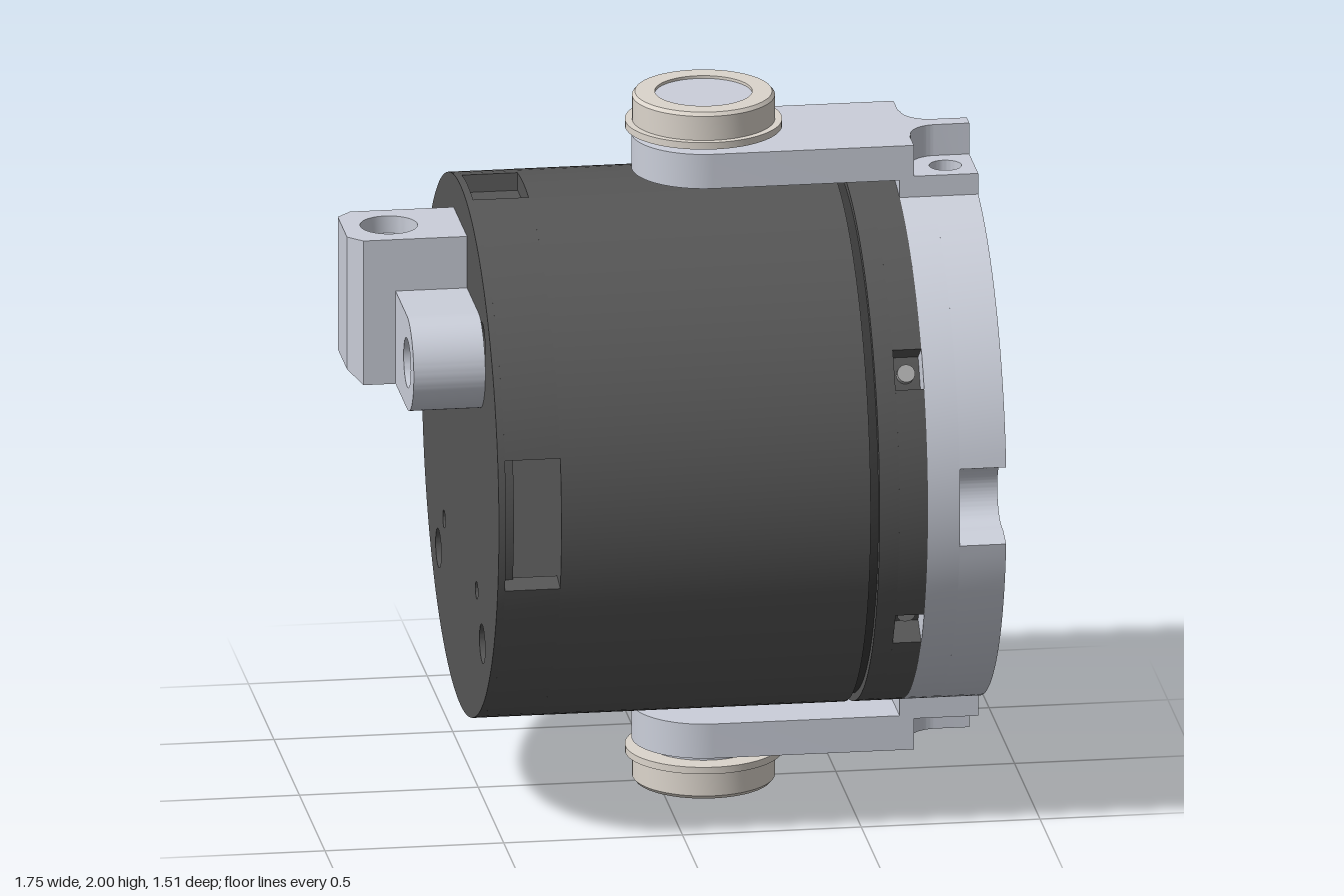
import * as THREE from 'three';
import { toCreasedNormals } from 'three/addons/utils/BufferGeometryUtils.js';

const mat = (color) => new THREE.MeshStandardMaterial({ color });
const DARK = mat(0x565656), LIGHT = mat(0xcbcfda), GREY = mat(0xa9a9a9), CREAM = mat(0xdcd5cc), BLACK = mat(0x3a3a3a);
const R = 0.757, RAD = Math.PI / 180;

const V = (x, y) => new THREE.Vector2(x, y);
const polar = (r, deg) => V(r * Math.cos(deg * RAD), r * Math.sin(deg * RAD));

// Points along an arc, in degrees
function arc(r, a0, a1, cx = 0, cy = 0) {
  const n = Math.max(2, Math.ceil(Math.abs(a1 - a0) / 3));
  return Array.from({ length: n + 1 }, (_, i) => polar(r, a0 + (a1 - a0) * i / n).add(V(cx, cy)));
}

// Shape from points, with round holes [x, y, radius]
function shapeOf(points, holes = []) {
  const s = new THREE.Shape(points);
  for (const [x, y, r] of holes) {
    const h = new THREE.Path();
    h.absarc(x, y, r, 0, Math.PI * 2, true);
    s.holes.push(h);
  }
  return s;
}
const disc = (r, holes) => shapeOf(arc(r, 0, 360).slice(0, -1), holes);
const sector = (r0, r1, a0, a1) => shapeOf([...arc(r1, a0, a1), ...arc(r0, a1, a0)]);

function extrude(shape, depth) {
  return new THREE.ExtrudeGeometry(shape, { depth, bevelEnabled: false, curveSegments: 24 });
}
function addMesh(parent, name, geo, material) {
  const m = new THREE.Mesh(toCreasedNormals(geo, 0.5), material);
  m.name = name;
  parent.add(m);
  return m;
}
// Extrusion along the drum axis (x); shape is (-z, y) about the axis
function alongX(parent, name, shape, x0, x1, material) {
  return addMesh(parent, name, extrude(shape, x1 - x0).rotateY(Math.PI / 2).translate(x0, 1, 0), material);
}
// Extrusion upward; shape is (x, -z)
const upGeo = (shape, y0, y1) => extrude(shape, y1 - y0).rotateX(-Math.PI / 2).translate(0, y0, 0);

// Outer arc with a U-shaped screw notch cut in at each given angle
function notchedArc(a0, a1, notches) {
  const pts = [];
  let a = a0;
  for (const t of notches) {
    const u = [V(0.69, -0.092), ...arc(0.09, 270, 90, 0.665, 0), V(0.69, 0.092)];
    pts.push(...arc(R, a, t - 8.5), ...u.map((p) => p.rotateAround(V(0, 0), t * RAD)));
    a = t + 8.5;
  }
  return [...pts, ...arc(R, a, a1)];
}

function buildDrum(g) {
  // Rear cover with four screw holes and two pin holes
  const holes = [];
  for (const s of [-1, 1]) {
    for (const t of [-1, 1]) holes.push([s * 0.43, t * 0.44, 0.055]);
    holes.push([s * 0.32, -0.32, 0.025]);
  }
  alongX(g, 'rearCover', disc(R, holes), -0.55, -0.53, DARK);
  alongX(g, 'rearCoverPlug', disc(0.7, holes), -0.53, -0.5, DARK);
  // Shell wall between the windows
  for (const [a0, a1] of [[14.5, 81.6], [98.4, 165.5], [194.5, 345.5]])
    alongX(g, 'windowWall', sector(0.69, R, a0, a1), -0.53, -0.375, DARK);
  addMesh(g, 'topWindowFloor', new THREE.BoxGeometry(0.155, 0.03, 0.26).translate(-0.4525, 1.685, 0), DARK);
  // Main shell, groove and front collar
  alongX(g, 'shell', disc(R), -0.375, 0.49, DARK);
  alongX(g, 'groove', disc(0.735), 0.49, 0.515, BLACK);
  alongX(g, 'collar', disc(R), 0.515, 0.57, DARK);
  alongX(g, 'collarCore', disc(0.68, [[0, 0, 0.495]]), 0.57, 0.65, DARK);
  // Collar wall, open at four pockets, each with a screw
  const pockets = [30, 150, 210, 330];
  pockets.forEach((p, i) => {
    const next = pockets[(i + 1) % 4] + (i === 3 ? 360 : 0);
    alongX(g, 'collarWall', sector(0.68, R, p + 4.3, next - 4.3), 0.57, 0.65, DARK);
    const c = polar(0.69, p);
    const screw = addMesh(g, 'pocketScrew', new THREE.CylinderGeometry(0.025, 0.025, 0.03, 20), GREY);
    screw.position.set(0.61, 1 + c.y, -c.x);
    screw.rotation.x = -(90 - p) * RAD;
  });
}

function buildOutput(g) {
  // Output disc with bolt circle and three larger pin holes
  const holes = [];
  for (let i = 0; i < 6; i++) {
    const p = polar(0.36, 30 + 60 * i);
    holes.push([p.x, p.y, 0.034]);
  }
  for (const a of [60, 180, 300]) {
    const p = polar(0.325, a);
    holes.push([p.x, p.y, 0.054]);
  }
  alongX(g, 'outputDisc', disc(0.475, holes), 0.59, 0.67, GREY);
  alongX(g, 'outputBacking', disc(0.475), 0.571, 0.59, GREY);
}

function buildFrontRing(g) {
  // Two ring halves; the front layer carries the screw notches
  const halves = [
    { outer: [105.4, 254.6], inner: [245.9, 114.1], r: 0.49, notches: [180] },
    { outer: [-74.6, 74.6], inner: [68.3, -68.3], r: 0.54, notches: [-60, 60] },
  ];
  for (const h of halves) {
    const inside = arc(h.r, ...h.inner);
    const screws = h.notches.map((t) => [...polar(0.665, t).toArray(), 0.045]);
    alongX(g, 'frontRingBase', shapeOf([...arc(R, ...h.outer), ...inside], screws), 0.65, 0.74, LIGHT);
    alongX(g, 'frontRingFace', shapeOf([...notchedArc(...h.outer, h.notches), ...inside]), 0.74, 0.87, LIGHT);
  }
}

function buildBracket() {
  const b = new THREE.Group();
  b.name = 'pivotBracket';
  // Foot joining the ring, drilled for two screws
  const foot = shapeOf([V(0.65, -0.2), V(0.87, -0.2), V(0.87, 0.2), V(0.65, 0.2)],
    [[0.79, 0.115, 0.045], [0.79, -0.115, 0.045]]);
  addMesh(b, 'bracketFoot', upGeo(foot, 1.54, 1.79), LIGHT);
  // Arm with rounded end and narrow tongue between the screws
  const edge = [V(0.69, -0.2), V(0.69, -0.12), ...arc(0.08, 180, 90, 0.775, -0.105), V(0.87, -0.025)];
  const arm = [...edge, ...edge.map((p) => V(p.x, -p.y)).reverse(), ...arc(0.2, 90, 270, 0.13, 0)];
  addMesh(b, 'bracketArm', upGeo(shapeOf(arm), 1.78, 1.88), LIGHT);
  // Flanged bearing on its pin
  const profile = [[0.135, 1.9], [0.218, 1.9], [0.218, 1.92], [0.198, 1.92], [0.198, 1.99],
    [0.19, 2], [0.135, 2], [0.135, 1.9]].map((p) => V(...p));
  addMesh(b, 'bearing', new THREE.LatheGeometry(profile, 64).translate(0.13, 0, 0), CREAM);
  addMesh(b, 'bearingSpacer', new THREE.CylinderGeometry(0.155, 0.155, 0.03, 48).translate(0.13, 1.89, 0), LIGHT);
  addMesh(b, 'bearingPin', new THREE.CylinderGeometry(0.135, 0.135, 0.11, 48).translate(0.13, 1.937, 0), LIGHT);
  return b;
}

function buildRearMount(g) {
  const m = new THREE.Group();
  m.name = 'rearMount';
  g.add(m);
  // Rounded wing bar with a bolt hole at each end
  const wing = shapeOf([...arc(0.135, -90, 90, 0.355, 0.365), ...arc(0.135, 90, 270, -0.355, 0.365)],
    [[0.36, 0.365, 0.07], [-0.36, 0.365, 0.07]]);
  alongX(m, 'mountWing', wing, -0.75, -0.55, LIGHT);
  // Upright block with counterbored hole and chamfered lower edge
  const outline = [V(-0.55, -0.132), V(-0.55, 0.132), V(-0.84, 0.132), V(-0.88, 0.09), V(-0.88, -0.09), V(-0.84, -0.132)];
  addMesh(m, 'mountBlockTop', upGeo(shapeOf(outline, [[-0.75, 0, 0.08]]), 1.6, 1.65), LIGHT);
  addMesh(m, 'mountBlock', upGeo(shapeOf(outline, [[-0.75, 0, 0.045]]), 1.265, 1.6), LIGHT);
  const base = upGeo(shapeOf(outline), 1.23, 1.265);
  const pos = base.attributes.position;
  for (let i = 0; i < pos.count; i++)
    if (pos.getY(i) < 1.24) pos.setX(i, Math.max(pos.getX(i), -0.845));
  addMesh(m, 'mountBlockBase', base, LIGHT);
}

export function createModel() {
  const g = new THREE.Group();
  g.name = 'drumActuator';
  buildDrum(g);
  buildOutput(g);
  buildFrontRing(g);
  buildRearMount(g);
  // Upper bracket and its copy turned half way round the axis
  g.add(buildBracket());
  const lower = buildBracket();
  lower.rotation.x = Math.PI;
  lower.position.y = 2;
  g.add(lower);
  return g;
}
